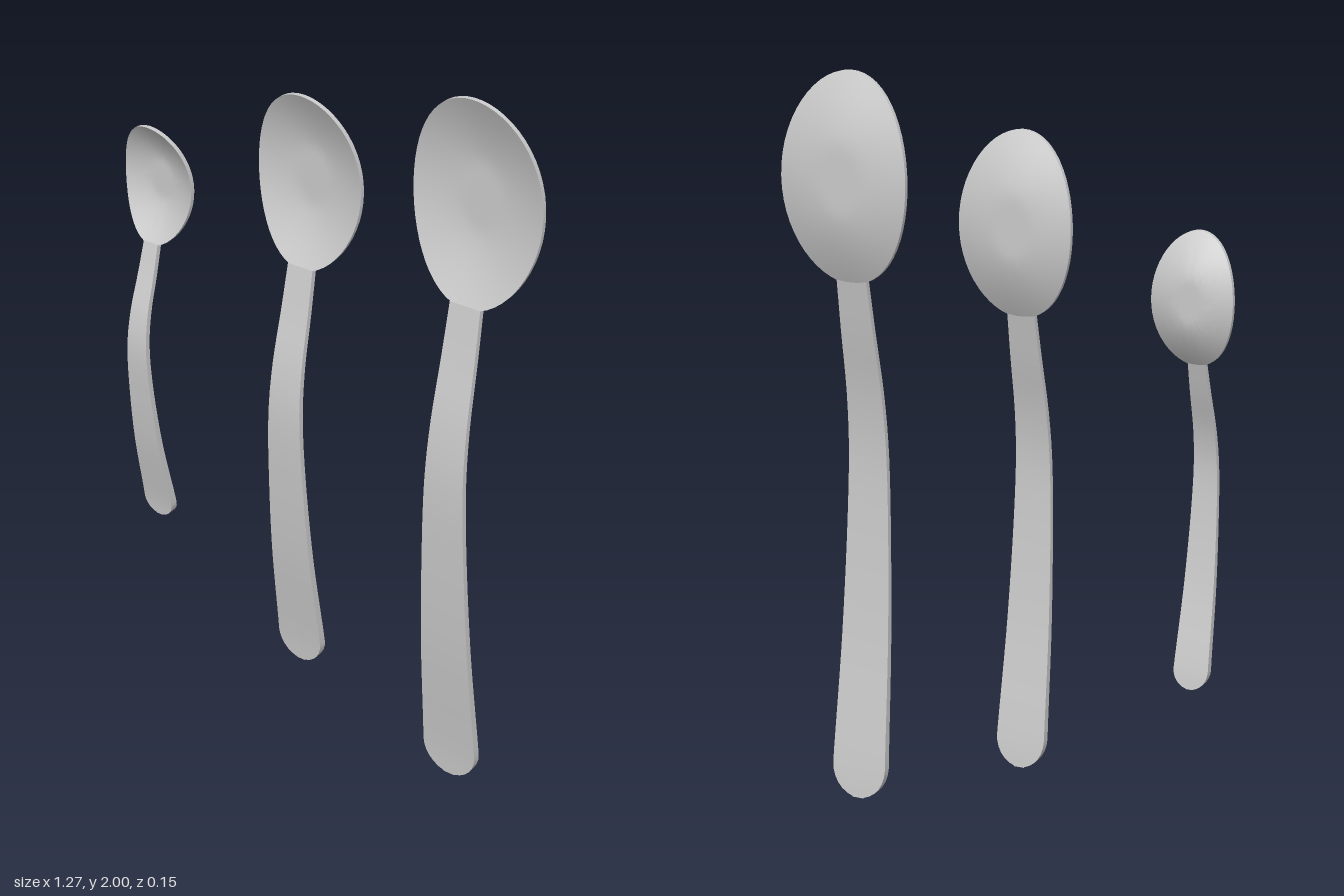
import * as THREE from 'three';
import { toCreasedNormals } from 'three/addons/utils/BufferGeometryUtils.js';

const material = new THREE.MeshStandardMaterial({ color: 0xcccccc });

// Skin a stack of closed rings (arrays of Vector3 of equal length)
function loft(rings, crease) {
  const out = [];
  const tri = (a, b, c) => {
    if (a.distanceTo(b) < 1e-6 || b.distanceTo(c) < 1e-6 || c.distanceTo(a) < 1e-6) return;
    for (const p of [a, b, c]) out.push(p.x, p.y, p.z);
  };
  for (let i = 0; i < rings.length - 1; i++) {
    const n = rings[i].length;
    for (let j = 0; j < n; j++) {
      const k = (j + 1) % n;
      tri(rings[i][j], rings[i + 1][j], rings[i + 1][k]);
      tri(rings[i][j], rings[i + 1][k], rings[i][k]);
    }
  }
  const g = new THREE.BufferGeometry();
  g.setAttribute('position', new THREE.Float32BufferAttribute(out, 3));
  return toCreasedNormals(g, crease);
}

// Oval shell with a flat floor; its rim lifts towards both tips
function bowlGeometry(halfW, halfH) {
  const segments = 56, steps = 14;
  const ring = (r, floor, rimDrop) => Array.from({ length: segments }, (_, j) => {
    const a = (j / segments) * Math.PI * 2;
    const rim = -0.043 + 0.041 * Math.sin(a) ** 2 - rimDrop;
    const f = Math.max(0, (r - 0.3) / 0.7) ** 1.5;
    return new THREE.Vector3(
      halfW * r * Math.cos(a), halfH * r * Math.sin(a), floor + (rim - floor) * f);
  });
  const rings = [];
  for (let i = 0; i <= steps; i++) rings.push(ring(i / steps, -0.062, 0));
  for (let i = steps; i >= 0; i--) rings.push(ring(i / steps, -0.075, 0.013));
  return loft(rings, 0.7);
}

// Side curve of the handle as (height fraction, z)
const bend = new THREE.SplineCurve([
  [0, -0.013], [0.08, -0.003], [0.3, 0.036], [0.5, 0.058], [0.66, 0.065],
  [0.78, 0.05], [0.9, 0.016], [1, -0.01],
].map(([t, z]) => new THREE.Vector2(t, z)));
const bendPoints = bend.getPoints(140);
function bendAt(t) {
  const i = Math.max(1, bendPoints.findIndex((p) => p.x >= t - 1e-9));
  const a = bendPoints[i - 1], b = bendPoints[i];
  return THREE.MathUtils.mapLinear(t, a.x, b.x, a.y, b.y);
}

// Flat tapering bar with a rounded lower end
function handleGeometry(bottom, top, wideHalf, narrowHalf, endLength) {
  const heights = [];
  for (let i = 0; i <= 7; i++) heights.push(endLength * (1 - Math.cos((i / 7) * Math.PI / 2)));
  const length = top - bottom;
  for (let i = 1; i <= 30; i++) heights.push(endLength + (length - endLength) * i / 30);

  const rings = heights.map((h) => {
    const t = h / length;
    let w = THREE.MathUtils.lerp(wideHalf, narrowHalf,
      Math.max(0, (h - endLength) / (length - endLength)));
    if (h < endLength) w *= Math.sqrt(Math.max(0.04, 1 - (1 - h / endLength) ** 2));
    const half = THREE.MathUtils.lerp(0.012, 0.008, Math.min(1, t * 2));
    const z = bendAt(Math.min(t, 1));
    return [[w, half], [-w, half], [-w, -half], [w, -half]]
      .map(([x, dz]) => new THREE.Vector3(x, bottom + h, z + dz));
  });
  // Close both ends on their centre points
  const cap = (r) => {
    const c = r[0].clone().add(r[2]).multiplyScalar(0.5);
    return r.map(() => c.clone());
  };
  rings.unshift(cap(rings[0]));
  rings.push(cap(rings[rings.length - 1]));
  return loft(rings, 0.6);
}

const spoons = [
  { name: 'smallSpoon', x: -0.526, bowlY: 1.49, halfW: 0.108, halfH: 0.17,
    bottom: 0.47, wide: 0.047, narrow: 0.023, end: 0.05 },
  { name: 'mediumSpoon', x: -0.043, bowlY: 1.637, halfW: 0.156, halfH: 0.241,
    bottom: 0.175, wide: 0.069, narrow: 0.038, end: 0.08 },
  { name: 'largeSpoon', x: 0.449, bowlY: 1.72, halfW: 0.183, halfH: 0.28,
    bottom: 0, wide: 0.081, narrow: 0.044, end: 0.09 },
];

export function createModel() {
  const model = new THREE.Group();
  model.name = 'spoonSet';
  for (const s of spoons) {
    const spoon = new THREE.Group();
    spoon.name = s.name;
    spoon.position.x = s.x;

    const bowl = new THREE.Mesh(bowlGeometry(s.halfW, s.halfH), material);
    bowl.name = 'bowl';
    bowl.position.y = s.bowlY;

    // The handle runs just into the lower tip of the bowl
    const top = s.bowlY - s.halfH * 0.965;
    const handle = new THREE.Mesh(
      handleGeometry(s.bottom, top, s.wide, s.narrow, s.end), material);
    handle.name = 'handle';

    spoon.add(bowl, handle);
    model.add(spoon);
  }
  return model;
}
